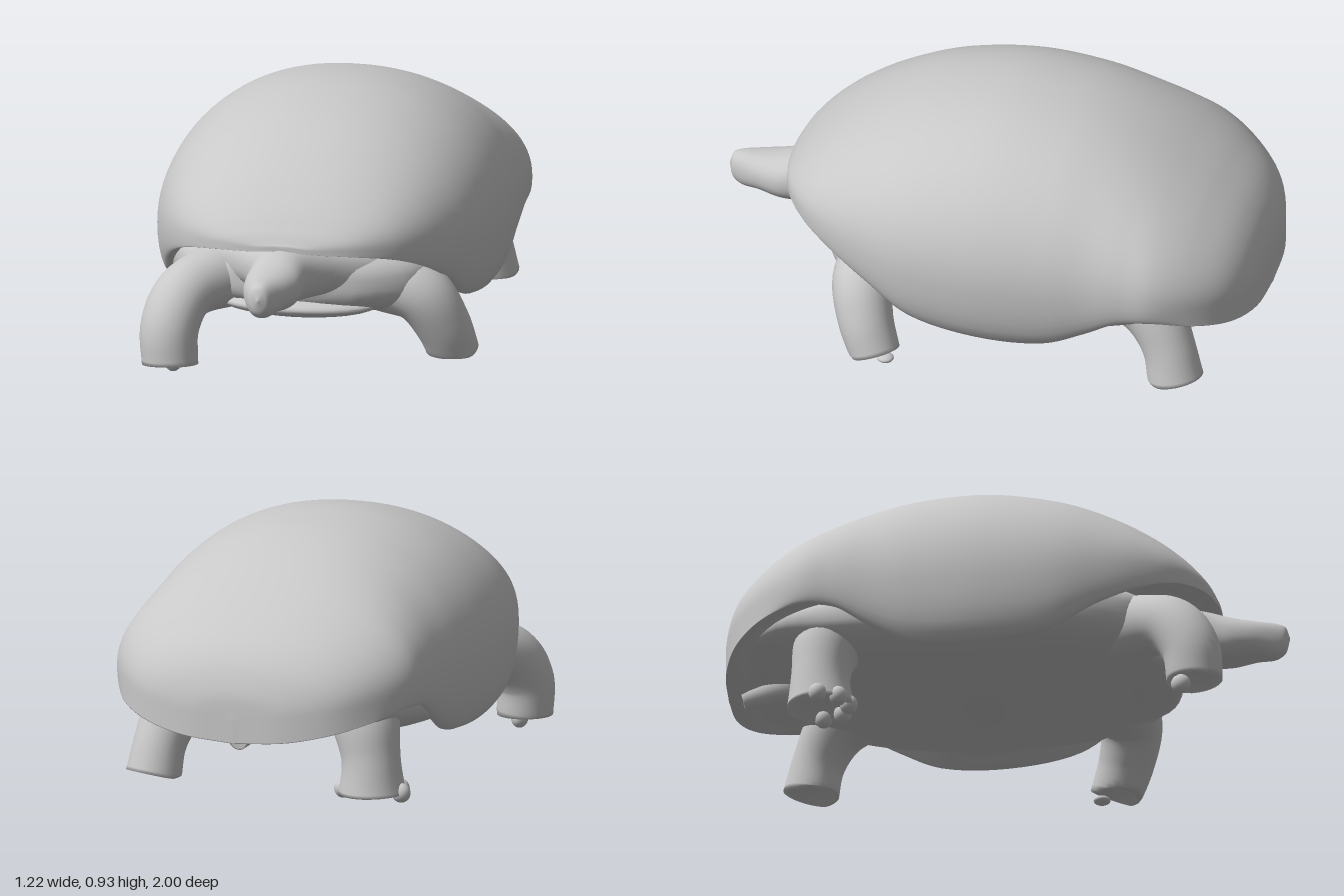
import * as THREE from 'three';

const V = (x, y, z) => new THREE.Vector3(x, y, z);
const signedPow = (v, e) => Math.sign(v) * Math.abs(v) ** e;

// Smooth skin over equal closed rings of points, turned to face outwards
function loft(rings) {
  const n = rings[0].length, pts = rings.flat(), index = [];
  for (let i = 0; i < rings.length - 1; i++) {
    for (let j = 0; j < n; j++) {
      const a = i * n + j, b = i * n + (j + 1) % n, c = a + n, d = b + n;
      index.push(a, b, c, b, d, c);
    }
  }
  let volume = 0;
  const cross = V(0, 0, 0);
  for (let k = 0; k < index.length; k += 3) {
    volume += pts[index[k]].dot(cross.crossVectors(pts[index[k + 1]], pts[index[k + 2]]));
  }
  if (volume < 0) index.reverse();
  const geo = new THREE.BufferGeometry().setFromPoints(pts);
  geo.setIndex(index);
  geo.computeVertexNormals();
  return geo;
}

// Sections across z: rows of [z, x, y, halfWidth, halfHeight], superellipse power p
function sections(rows, p, steps = 44, n = 48) {
  const mid = new THREE.CatmullRomCurve3(rows.map(r => V(r[1], r[2], r[0])));
  const size = new THREE.CatmullRomCurve3(rows.map(r => V(r[3], r[4], r[0])));
  const rings = [];
  for (let i = 0; i <= steps; i++) {
    const c = mid.getPoint(i / steps), s = size.getPoint(i / steps), ring = [];
    for (let j = 0; j < n; j++) {
      const a = (j / n) * Math.PI * 2;
      ring.push(V(c.x + s.x * signedPow(Math.cos(a), 2 / p),
        c.y + s.y * signedPow(Math.sin(a), 2 / p), c.z));
    }
    rings.push(ring);
  }
  return loft(rings);
}

// Round limb along a path; the end is cut level at the floor with a hollow sole
function limb(path, radii, floor, n = 28) {
  const curve = new THREE.CatmullRomCurve3(path.map(p => V(...p)));
  const steps = 24, frames = curve.computeFrenetFrames(steps), rings = [];
  const sizes = new THREE.CatmullRomCurve3(radii.map((r, i) => V(i * 0.1, r, 0)));
  for (let i = 0; i <= steps; i++) {
    const c = curve.getPointAt(i / steps), r = sizes.getPoint(i / steps).y, ring = [];
    for (let j = 0; j < n; j++) {
      const a = (j / n) * Math.PI * 2;
      const p = c.clone().addScaledVector(frames.normals[i], r * Math.cos(a))
        .addScaledVector(frames.binormals[i], r * Math.sin(a));
      p.y = Math.max(p.y, floor);
      ring.push(p);
    }
    rings.push(ring);
  }
  const last = rings[rings.length - 1], end = curve.getPoint(1);
  for (const [s, up] of [[0.85, 0], [0.7, 0.025], [0, 0.04]]) {
    rings.push(last.map(p => {
      const q = end.clone().lerp(p, s);
      q.y += up;
      return q;
    }));
  }
  return loft(rings);
}

// Shell from cross slices: domed top, side curled under to the lip, then folded inside
function shellGeometry() {
  // half width, z, height of widest edge, height of lip, height of ridge line
  const rows = [
    [0, 0.755, 0.515, 0.505, 0.515], [0.1, 0.75, 0.51, 0.495, 0.525],
    [0.25, 0.71, 0.51, 0.485, 0.58], [0.38, 0.62, 0.5, 0.46, 0.668],
    [0.47, 0.5, 0.48, 0.41, 0.755], [0.54, 0.35, 0.45, 0.33, 0.834],
    [0.585, 0.2, 0.43, 0.235, 0.886], [0.61, -0.05, 0.42, 0.19, 0.925],
    [0.6, -0.3, 0.42, 0.2, 0.907], [0.585, -0.45, 0.42, 0.27, 0.868],
    [0.578, -0.58, 0.43, 0.345, 0.813], [0.565, -0.7, 0.43, 0.36, 0.745],
    [0.49, -0.83, 0.41, 0.335, 0.655], [0.37, -0.935, 0.38, 0.295, 0.555],
    [0.2, -0.99, 0.35, 0.26, 0.44], [0, -1, 0.33, 0.245, 0.33],
  ];
  const edge = new THREE.CatmullRomCurve3(rows.map(([w, z, y]) => V(w, y, z)));
  const ridge = new THREE.CatmullRomCurve3(rows.map(([, z, , , top]) => V(0, top, z)));
  const lip = new THREE.CatmullRomCurve3(rows.map(([w, z, y, low]) =>
    V(w * (z > -0.75 ? 1 - 0.6 * Math.max(0, y - low - 0.02) : 1), low, z)));
  const rings = [], slices = 90, dome = 24, curl = 6;
  for (let i = 0; i <= slices; i++) {
    const e = edge.getPoint(i / slices), l = lip.getPoint(i / slices);
    const top = ridge.getPoint(i / slices).y, side = [];
    for (let j = 0; j < dome; j++) {
      const a = (j / dome) * Math.PI / 2;
      side.push(V(e.x * Math.sin(a) ** 0.93, e.y + (top - e.y) * Math.cos(a) ** 0.93, e.z));
    }
    for (let j = 0; j <= curl; j++) {
      const a = (j / curl) * Math.PI / 2, k = 1 - Math.cos(a);
      side.push(V(e.x + (l.x - e.x) * k, e.y + (l.y - e.y) * Math.sin(a),
        e.z + (l.z - e.z) * k));
    }
    for (const [s, up] of [[0.97, 0], [0.92, 0.02], [0.8, 0.05], [0.5, 0.08]]) {
      side.push(V(l.x * s, l.y + up, -0.1 + (l.z + 0.1) * s));
    }
    const mirrored = side.slice(1).reverse().map(p => V(-p.x, p.y, p.z));
    rings.push([...side, ...mirrored]);
  }
  return loft(rings);
}

export function createModel() {
  const model = new THREE.Group();
  const grey = new THREE.MeshStandardMaterial({ color: 0xc8c8c8 });
  grey.name = 'plain grey';
  const add = (name, geo) => {
    const mesh = new THREE.Mesh(geo, grey);
    mesh.name = name;
    model.add(mesh);
    return mesh;
  };
  const blob = (name, [x, y, z], [sx, sy, sz]) => {
    const mesh = add(name, new THREE.SphereGeometry(1, 32, 20));
    mesh.position.set(x, y, z);
    mesh.scale.set(sx, sy, sz);
  };

  add('shell', shellGeometry());

  // Soft body and flat belly
  add('body', sections([
    [0.6, 0, 0.34, 0.001, 0.001], [0.57, 0, 0.34, 0.24, 0.08], [0.48, 0, 0.345, 0.41, 0.13],
    [0.35, 0, 0.345, 0.49, 0.155], [0.2, 0, 0.34, 0.53, 0.16], [-0.1, 0, 0.335, 0.54, 0.17],
    [-0.4, 0, 0.34, 0.53, 0.155], [-0.6, 0, 0.345, 0.49, 0.125], [-0.8, 0, 0.35, 0.42, 0.072],
    [-0.92, 0, 0.325, 0.29, 0.042], [-0.96, 0, 0.32, 0.001, 0.001],
  ], 2.6));
  blob('bellyPlateLip', [-0.01, 0.245, 0.46], [0.29, 0.045, 0.155]);

  // Neck and head in one tapering form
  add('neckAndHead', sections([
    [0.38, 0, 0.39, 0.42, 0.1], [0.5, -0.005, 0.395, 0.32, 0.105],
    [0.6, -0.01, 0.395, 0.18, 0.104], [0.7, -0.02, 0.395, 0.108, 0.1],
    [0.8, -0.025, 0.38, 0.1, 0.083], [0.88, -0.03, 0.378, 0.08, 0.07],
    [0.95, -0.03, 0.375, 0.052, 0.066], [0.985, -0.03, 0.38, 0.032, 0.048],
    [1, -0.03, 0.385, 0.001, 0.001],
  ], 2.2));

  // Legs caught mid step, so each has its own path
  add('frontLeftLeg', limb([[0.28, 0.33, 0.36], [0.42, 0.28, 0.39], [0.49, 0.17, 0.365],
    [0.525, 0.05, 0.32]], [0.13, 0.112, 0.1, 0.09], 0.05));
  add('frontRightLeg', limb([[-0.27, 0.33, 0.42], [-0.39, 0.285, 0.61], [-0.425, 0.18, 0.685],
    [-0.42, 0.05, 0.7]], [0.13, 0.108, 0.105, 0.1], 0.05));
  add('hindLeftLeg', limb([[0.32, 0.35, -0.57], [0.36, 0.28, -0.66], [0.39, 0.17, -0.72],
    [0.405, 0.05, -0.75]], [0.13, 0.11, 0.095, 0.1], 0.05));
  add('hindRightLeg', limb([[-0.31, 0.35, -0.55], [-0.35, 0.28, -0.61], [-0.38, 0.15, -0.635],
    [-0.385, 0.025, -0.635]], [0.14, 0.12, 0.105, 0.12], 0.025));

  // Toes round the planted hind foot, and single claws on the front feet
  for (let i = 0; i < 5; i++) {
    const a = Math.PI * i * 0.25;
    blob('hindRightToe', [-0.385 + 0.11 * Math.cos(a), 0.035, -0.635 + 0.1 * Math.sin(a)],
      [0.034, 0.035, 0.032]);
  }
  blob('frontRightClaw', [-0.42, 0.045, 0.65], [0.03, 0.035, 0.035]);
  blob('frontLeftClaw', [0.57, 0.065, 0.27], [0.03, 0.015, 0.03]);

  add('tail', limb([[0, 0.31, -0.68], [0, 0.28, -0.82], [0, 0.245, -0.95]],
    [0.09, 0.06, 0.035], 0));
  return model;
}
